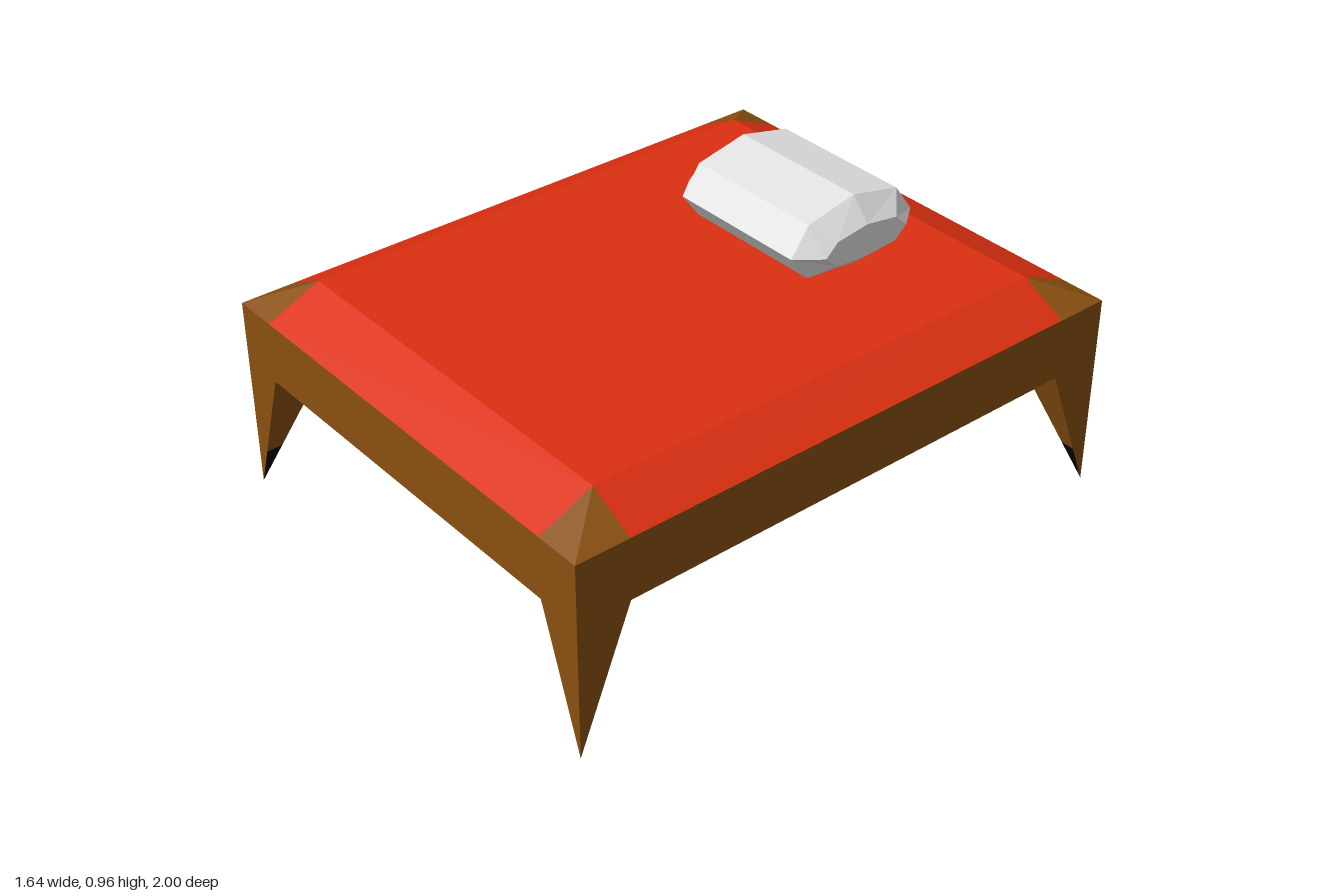
import * as THREE from 'three';

const material = (name, color) => {
  const m = new THREE.MeshStandardMaterial({ color });
  m.name = name;
  return m;
};

// Flat-shaded mesh of convex polygons, each turned to face away from an inner point
function polyMesh(name, mat, polygons, inside) {
  const centre = new THREE.Vector3(...inside);
  const out = [];
  for (const poly of polygons) {
    const p = poly.map((c) => new THREE.Vector3(...c));
    const n = p[1].clone().sub(p[0]).cross(p[2].clone().sub(p[0]));
    if (n.dot(p[0].clone().sub(centre)) < 0) p.reverse();
    for (let i = 1; i < p.length - 1; i++) {
      for (const v of [p[0], p[i], p[i + 1]]) out.push(v.x, v.y, v.z);
    }
  }
  const g = new THREE.BufferGeometry();
  g.setAttribute('position', new THREE.Float32BufferAttribute(out, 3));
  g.computeVertexNormals();
  const mesh = new THREE.Mesh(g, mat);
  mesh.name = name;
  return mesh;
}

export function createModel() {
  const wood = material('brown wood', 0x8a5010);
  const red = material('red blanket', 0xdc2f10);
  const white = material('white pillow', 0xe2e2e2);
  const black = material('black underside', 0x060606);

  const bed = new THREE.Group();
  bed.name = 'bed';

  const W = 0.82, L = 1;          // outer half width and length
  const w = 0.665, l = 0.82;      // inner half width and length
  const low = 0.455, rim = 0.66, top = 0.74;
  const mid = [0, 0.6, 0];

  // Frame: four outer walls
  const walls = [];
  for (const s of [-1, 1]) {
    walls.push([[-W, low, s * L], [W, low, s * L], [W, rim, s * L], [-W, rim, s * L]]);
    walls.push([[s * W, low, -L], [s * W, low, L], [s * W, rim, L], [s * W, rim, -L]]);
  }
  bed.add(polyMesh('frame', wood, walls, mid));

  // Blanket: flat top with four sloping sides
  const cover = [[[-w, top, -l], [w, top, -l], [w, top, l], [-w, top, l]]];
  for (const s of [-1, 1]) {
    cover.push([[-w, top, s * l], [w, top, s * l], [w, rim, s * L], [-w, rim, s * L]]);
    cover.push([[s * w, top, -l], [s * w, top, l], [s * W, rim, l], [s * W, rim, -l]]);
  }
  bed.add(polyMesh('blanket', red, cover, mid));

  // Underside, with a narrow blanket edge along one side
  const e = -0.77;
  bed.add(polyMesh('underside', black, [
    [[e, low, -l], [-w, low, -l], [-w, low, l], [e, low, l]],
    [[-w, low, -L], [w, low, -L], [w, low, L], [-w, low, L]],
    [[w, low, -l], [W, low, -l], [W, low, l], [w, low, l]],
  ], mid));
  bed.add(polyMesh('blanketEdge', red, [
    [[-W, low, -l], [e, low, -l], [e, low, l], [-W, low, l]],
  ], mid));

  // Corner caps and pointed legs
  for (const sx of [-1, 1]) {
    for (const sz of [-1, 1]) {
      const at = (x, y, z) => [sx * x, y, sz * z];
      bed.add(polyMesh('cornerCap', wood, [
        [at(w, top, l), at(w, rim, L), at(W, rim, L)],
        [at(w, top, l), at(W, rim, L), at(W, rim, l)],
      ], mid));

      const tip = at(W, 0, L), a = at(w, low, L), b = at(w, low, l);
      const c = at(W, low, l), d = at(W, low, L);
      const cut = (p) => p.map((v, i) => tip[i] + (v - tip[i]) * 0.3);
      const heart = at(0.785, 0.34, 0.96);
      bed.add(polyMesh('leg', wood, [
        [a, d, tip], [d, c, tip],
        [a, b, cut(b), cut(a)], [b, c, cut(c), cut(b)],
      ], heart));
      bed.add(polyMesh('legTip', black, [
        [cut(a), cut(b), tip], [cut(b), cut(c), tip],
      ], heart));
    }
  }

  // Pillow: eight-sided body with tapered ends
  const py = 0.826, pz = -0.495;
  const profile = [
    [0, 0.134], [0.18, 0.094], [0.247, 0], [0.18, -0.09],
    [0, -0.11], [-0.18, -0.09], [-0.247, 0], [-0.18, 0.094],
  ];
  const ring = (x, kz, ky) => profile.map(([z, y]) => [x, py + y * ky, pz + z * kz]);
  const rings = [ring(-0.315, 0.67, 0.45), ring(-0.25, 1, 1), ring(0.25, 1, 1), ring(0.315, 0.67, 0.45)];
  const faces = [rings[0], rings[3]];
  for (let r = 0; r < 3; r++) {
    for (let i = 0; i < 8; i++) {
      const j = (i + 1) % 8;
      faces.push([rings[r][i], rings[r][j], rings[r + 1][j], rings[r + 1][i]]);
    }
  }
  bed.add(polyMesh('pillow', white, faces, [0, py, pz]));

  return bed;
}
